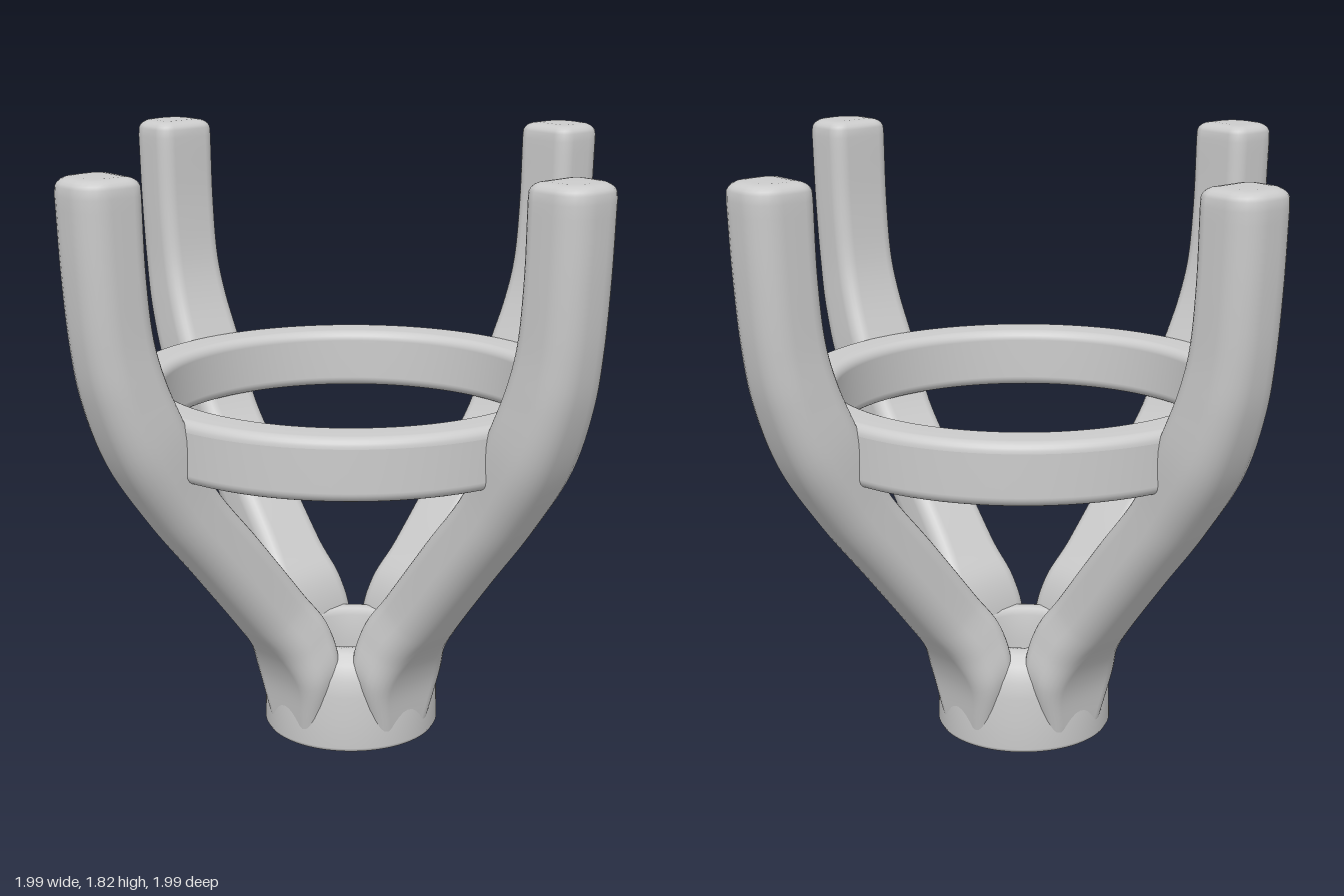
import * as THREE from 'three';

const material = new THREE.MeshStandardMaterial({ color: 0xcccccc });

// Counter-clockwise rounded rectangle; rRight and rLeft are the corner radii at +x and -x
function roundedRect(halfW, halfH, rRight, rLeft = rRight, steps = 6) {
  const points = [];
  [[1, 1, rRight], [-1, 1, rLeft], [-1, -1, rLeft], [1, -1, rRight]].forEach(([sx, sy, r], k) => {
    for (let i = 0; i <= steps; i++) {
      const a = (k + i / steps) * Math.PI / 2;
      points.push(new THREE.Vector2(sx * (halfW - r) + r * Math.cos(a), sy * (halfH - r) + r * Math.sin(a)));
    }
  });
  return points;
}

function lathe(name, profile) {
  const mesh = new THREE.Mesh(new THREE.LatheGeometry([...profile, profile[0].clone()], 96), material);
  mesh.name = name;
  return mesh;
}

// Prong stations: outer x, y, inner x, y, half width
const stations = [
  [0.262, 0.06, 0.17, 0.12, 0.11],
  [0.285, 0.2, 0.155, 0.27, 0.15],
  [0.33, 0.3, 0.185, 0.4, 0.135],
  [0.41, 0.4, 0.262, 0.51, 0.114],
  [0.57, 0.6, 0.425, 0.72, 0.108],
  [0.73, 0.8, 0.585, 0.92, 0.108],
  [0.86, 1.0, 0.68, 1.11, 0.116],
  [0.937, 1.2, 0.74, 1.25, 0.11],
  [0.967, 1.35, 0.773, 1.37, 0.105],
  [0.985, 1.55, 0.793, 1.55, 0.105],
  [0.995, 1.77, 0.8, 1.77, 0.105],
];

function prongGeometry() {
  const outer = new THREE.CatmullRomCurve3(stations.map(s => new THREE.Vector3(s[0], s[1], 0)));
  const inner = new THREE.CatmullRomCurve3(stations.map(s => new THREE.Vector3(s[2], s[3], 0)));
  const width = new THREE.CatmullRomCurve3(stations.map((s, i) => new THREE.Vector3(s[4], i, 0)));
  const positions = [], index = [];
  let rings = 0, count = 0;

  const addRing = (t, lift = 0, inset = 0) => {
    const o = outer.getPoint(t), n = inner.getPoint(t);
    const centre = o.clone().add(n).multiplyScalar(0.5);
    const axis = o.clone().sub(n);
    const halfDepth = axis.length() / 2;
    axis.normalize();
    const section = roundedRect(halfDepth - inset, width.getPoint(t).x - inset,
      Math.min(0.08, halfDepth * 0.85) - inset * 0.6, 0.045 - inset * 0.6);
    for (const p of section) {
      positions.push(centre.x + axis.x * p.x, centre.y + axis.y * p.x + lift, -p.y);
    }
    count = section.length;
    rings++;
  };

  const steps = 60;
  for (let i = 0; i <= steps; i++) addRing(i / steps);
  // Softened tip
  for (let i = 1; i <= 5; i++) {
    const a = i / 5 * Math.PI / 2;
    addRing(1, 0.015 + 0.033 * Math.sin(a), 0.033 * (1 - Math.cos(a)));
  }
  addRing(1, 0.05, 0.045);

  for (let i = 0; i < rings - 1; i++) {
    for (let j = 0; j < count; j++) {
      const k = (j + 1) % count;
      const a = i * count + j, b = i * count + k;
      index.push(a, b, b + count, a, b + count, a + count);
    }
  }
  // Flat cap on the tip
  const last = (rings - 1) * count;
  positions.push(0.8975, 1.82, 0);
  for (let j = 0; j < count; j++) index.push(last + j, last + (j + 1) % count, rings * count);

  const geometry = new THREE.BufferGeometry();
  geometry.setAttribute('position', new THREE.Float32BufferAttribute(positions, 3));
  geometry.setIndex(index);
  geometry.computeVertexNormals();
  return geometry;
}

export function createModel() {
  const model = new THREE.Group();
  model.name = 'prongSetting';

  // Hollow base collar, rounded over towards the top
  const collar = [
    [0.148, 0.012], [0.158, 0], [0.255, 0], [0.266, 0.004], [0.272, 0.015], [0.27, 0.1], [0.268, 0.18],
    [0.26, 0.23], [0.242, 0.275], [0.215, 0.303], [0.19, 0.312], [0.165, 0.308], [0.15, 0.29], [0.146, 0.2],
  ].map(([x, y]) => new THREE.Vector2(x, y));
  model.add(lathe('baseCollar', collar));

  // Support ring joining the prongs
  const ringProfile = roundedRect(0.068, 0.0925, 0.03).map(p => new THREE.Vector2(p.x + 0.642, p.y + 1.037));
  model.add(lathe('supportRing', ringProfile));

  // Four curved prongs
  const geometry = prongGeometry();
  ['leftProng', 'backProng', 'rightProng', 'frontProng'].forEach((name, i) => {
    const prong = new THREE.Mesh(geometry, material);
    prong.name = name;
    prong.rotation.y = i * Math.PI / 2;
    model.add(prong);
  });
  return model;
}
